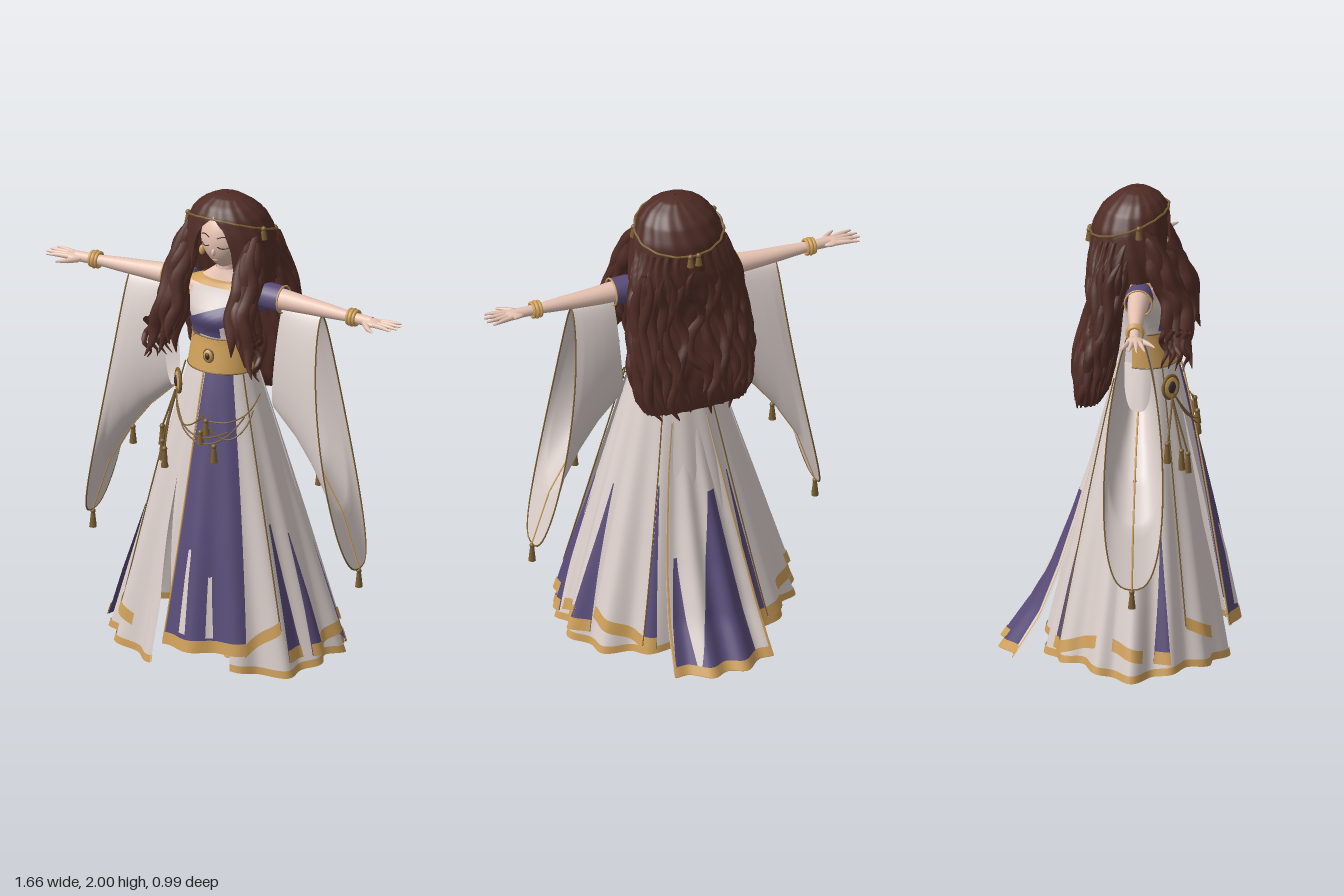
import * as THREE from 'three';
import { mergeVertices } from 'three/addons/utils/BufferGeometryUtils.js';

const mat = (name, color) => Object.assign(new THREE.MeshStandardMaterial({ color, side: THREE.DoubleSide }), { name });
const white = mat('ivory cloth', 0xdbcfcb), purple = mat('purple cloth', 0x584b78), gold = mat('gold', 0xcfa05a);
const bronze = mat('dark gold', 0x7d6034), skin = mat('skin', 0xe9c5b4), hairM = mat('hair', 0x502c25);
const dark = mat('dark stone', 0x3a3038), lipM = mat('lips', 0xc0857c);

const V = (x, y, z) => new THREE.Vector3(x, y, z);
const rad = d => d * Math.PI / 180, lerp = THREE.MathUtils.lerp;
const { sin, cos, PI } = Math;

// table lookup: rows are [key, ...values] with falling keys
function look(rows, k) {
  if (k >= rows[0][0]) return rows[0].slice(1);
  for (let i = 1; i < rows.length; i++) if (k >= rows[i][0]) {
    const a = rows[i - 1], b = rows[i], t = (a[0] - k) / (a[0] - b[0]);
    return a.slice(1).map((v, j) => lerp(v, b[j + 1], t));
  }
  return rows[rows.length - 1].slice(1);
}

// smooth surface from a rule f(u, v) -> Vector3
function grid(f, nu, nv) {
  const p = [], idx = [];
  for (let j = 0; j <= nv; j++) for (let i = 0; i <= nu; i++) p.push(...f(i / nu, j / nv).toArray());
  for (let j = 0; j < nv; j++) for (let i = 0; i < nu; i++) {
    const a = j * (nu + 1) + i, b = a + nu + 1;
    idx.push(a, b, a + 1, b, b + 1, a + 1);
  }
  let g = new THREE.BufferGeometry();
  g.setAttribute('position', new THREE.Float32BufferAttribute(p, 3));
  g.setIndex(idx);
  g = mergeVertices(g, 1e-5);
  g.computeVertexNormals();
  return g;
}

// tube whose radius follows a list of values
function taper(pts, radii, sides = 8, seg = 16) {
  const c = new THREE.CatmullRomCurve3(pts);
  const g = new THREE.TubeGeometry(c, seg, 1, sides), p = g.attributes.position;
  for (let i = 0; i < p.count; i++) {
    const t = Math.floor(i / (sides + 1)) / seg, k = t * (radii.length - 1), n = Math.min(Math.floor(k), radii.length - 2);
    const o = c.getPointAt(t), v = V(0, 0, 0).fromBufferAttribute(p, i);
    v.sub(o).multiplyScalar(lerp(radii[n], radii[n + 1], k - n)).add(o);
    p.setXYZ(i, v.x, v.y, v.z);
  }
  return g;
}
const cord = (f, n, r, closed) => new THREE.TubeGeometry(
  new THREE.CatmullRomCurve3(Array.from({ length: closed ? n : n + 1 }, (_, i) => f(i / n)), closed), n * 2, r, 6, closed);

// skirt surface: angle 0 is the front, 90 degrees is +x
function skirt(deg, y, off = 0) {
  const t = Math.max(0, (1.28 - y) / 1.24), a = rad(deg);
  const k = 1 + 0.045 * t * sin(15 * a) + 0.02 * t * sin(7 * a + 1);
  return V(((0.14 + 0.355 * t) * k + off) * sin(a), y, 0.12 - 0.03 * t + ((0.11 + 0.27 * t ** 0.9) * k + off) * cos(a));
}
// torso surface
const torsoRows = [[1.68, .045, .045, .09], [1.63, .11, .06, .09], [1.6, .185, .065, .1], [1.55, .18, .08, .1],
  [1.5, .145, .09, .105], [1.4, .122, .095, .11], [1.26, .136, .115, .12]];
function torso(deg, y, off = 0) {
  const [rx, rz, zc] = look(torsoRows, y), a = rad(deg);
  const bust = 0.035 * Math.exp(-(((y - 1.49) / 0.05) ** 2)) * Math.max(cos(a), 0);
  return V((rx + off) * sin(a), y, zc + (rz + off) * cos(a) + bust);
}
// hair cap surface
const capRows = [[2, .004, .004, .08], [1.99, .065, .055, .08], [1.96, .118, .1, .08], [1.92, .156, .135, .07],
  [1.85, .187, .16, .058], [1.75, .205, .17, .055], [1.65, .21, .168, .055]];
function cap(deg, y, off = 0) {
  const [rx, rz, zc] = look(capRows, y), a = rad(deg), k = 1 + 0.014 * sin(16 * a + y * 25);
  return V((rx * k + off) * sin(a), y, zc + (rz * k + off) * cos(a));
}

export function createModel() {
  const root = new THREE.Group();
  const add = (name, geo, m, pos, scale, parent = root) => {
    const o = new THREE.Mesh(geo, m);
    o.name = name;
    if (pos) o.position.set(...pos);
    if (scale) o.scale.set(...scale);
    parent.add(o);
    return o;
  };
  const ball = new THREE.SphereGeometry(1, 24, 16);
  const band = (name, surf, a0, a1, y0, y1, off, m, n = 48) =>
    add(name, grid((u, v) => surf(lerp(a0, a1, u), lerp(y0, y1, v), off), n, 8), m);
  const tassel = (x, y, z, h = 0.07) => {
    add('tasselKnot', ball, bronze, [x, y, z], [.011, .011, .011]);
    add('tassel', new THREE.CylinderGeometry(.008, .016, h, 8), bronze, [x, y - h / 2, z]);
  };

  // underskirt, open behind the front panel and at the slit
  const slitL = y => look([[.93, -22], [.6, -21], [.3, -16], [0, -16]], y)[0];
  const under = (yTop, yLow, off) => grid((u, v) => {
    const y = lerp(yTop, yLow, v), d = lerp(26, 360 + slitL(y), u);
    return skirt(d, y + 0.015 * sin(rad(d) * 5) * (1 - Math.min(1, y)), off);
  }, 180, 24);
  add('underskirt', under(1.28, .05, 0), white);
  for (const off of [.004, -.004]) add('underskirtHem', under(.078, .048, off), gold);

  // overskirt panels: left and right angle at the top and at the hem, hem height on each side
  const panel = (name, m, t0, t1, b0, b1, yTop, h0, h1, off, hem = true) => {
    const f = (o, lift) => (u, v) => {
      const low = lerp(h0, h1, u), y = lift ? low + lift * (1 - v) : lerp(yTop, low, v), k = (yTop - y) / (yTop - low);
      return skirt(lerp(lerp(t0, b0, k), lerp(t1, b1, k), u), y, o * Math.min(1, .4 + k));
    };
    add(name, grid(f(off, 0), 20, 24), m);
    if (hem) add(name + 'Hem', grid(f(off + .005, .05), 20, 2), gold);
  };
  panel('slitStrip', white, -28, -2, -9, -8, 1.28, .3, .3, .012, false);
  panel('frontPanel', purple, -4, 42, -10, 35, 1.28, .13, .13, .022);
  panel('foldLight', white, 2, 3, 0, 4, .75, .2, .2, .028, false);
  panel('foldLight', white, 15, 16, 14, 18, .6, .19, .19, .028, false);
  add('panelEdge', cord(t => skirt(lerp(-4, -10, t), lerp(1.27, .14, t), .022), 20, .004), gold);
  for (const s of [-1, 1]) {
    panel('frontSidePanel', white, s * 36, s * 58, s * 34, s * 54, 1.28, s < 0 ? .15 : .12, .22, .016);
    panel('sidePanel', white, s * 82, s * 104, s * 84, s * 104, 1.28, .11, .15, .014);
    panel('rearPanel', white, s * 116, s * 150, s * 114, s * 146, 1.28, .16, .08, .014);
    panel('purpleGore', purple, s * 149, s * 150, s * 146, s * 153, .75, .08, .08, .012);
    add('panelEdge', cord(t => skirt(s * lerp(58, 54, t), lerp(1.27, .23, t), .018), 16, .003), bronze);
    add('panelEdge', cord(t => skirt(s * lerp(150, 146, t), lerp(1.2, .09, t), .016), 16, .003), bronze);
  }
  for (const [t0, t1, b0, b1, y] of [[60, 62, 56, 68, .65], [76, 77, 73, 83, .6], [107, 108, 102, 114, .72], [-70, -71, -67, -77, .6]])
    panel('purpleGore', purple, t0, t1, b0, b1, y, .1, .1, .019);

  // train trailing behind
  const trainRows = [[1, -.06, .08], [.8, -.115, .115], [.6, -.18, .145], [.4, -.255, .175], [.2, -.345, .2], [.02, -.465, .22]];
  const train = (l0, r0, l1, r1, y0, y1, off) => grid((u, v) => {
    const y = lerp(y0, y1, v), w = lerp(lerp(l0, l1, v), lerp(r0, r1, v), u), [z, hw] = look(trainRows, y), k = 1.05 - y;
    return V(w * hw, y + .004, z + .07 * w * w * k + .018 * k * cos(w * 9) - off);
  }, 32, 24);
  add('train', train(-1, 1, -1, 1, 1, .02, 0), white);
  add('trainCentre', train(-.55, -.3, -.68, .52, .7, .03, .005), purple);
  add('trainSide', train(.72, .8, .55, .97, .45, .03, .005), purple);
  add('trainHem', train(-1, 1, -1, 1, .055, .018, .009), gold);
  for (const w of [-1, 1]) add('trainEdge', train(w * .95, w, w * .95, w, 1, .02, .008), gold);

  // torso, neckline, sash and belt
  band('shoulders', torso, 0, 360, 1.68, 1.6, 0, skin);
  band('bodice', torso, 0, 360, 1.615, 1.26, .004, white);
  band('bareShoulder', torso, -80, -38, 1.612, 1.555, .009, skin);
  band('collar', torso, 0, 360, 1.64, 1.61, .01, gold);
  add('sash', grid((u, v) => torso(lerp(-50, 80, u), lerp(1.425, 1.575, u) + lerp(.045, -.045, v), .014), 32, 6), purple);
  band('shoulderDrape', torso, 48, 130, 1.615, 1.5, .013, purple, 20);
  add('sashTail', grid((u, v) => torso(lerp(-55, 18, u), lerp(1.435, 1.43, u) + lerp(.03, -.02, v), .012), 24, 4), purple);
  band('belt', torso, -115, 115, 1.405, 1.265, .014, gold);
  for (const y of [1.405, 1.265]) add('beltRim', cord(t => torso(lerp(-115, 115, t), y, .014), 32, .003), bronze);
  const disc = (name, r, p, turn) => {
    const g = new THREE.Group();
    g.name = name; g.position.copy(p); g.rotation.y = turn; root.add(g);
    add('disc', ball, gold, null, [r * .9, r * 1.1, .012], g);
    add('rim', new THREE.TorusGeometry(r, r * .16, 8, 28), bronze, null, [.95, 1.15, 1], g);
    add('stone', ball, dark, [0, 0, .006], [r * .5, r * .65, .012], g);
  };
  disc('beltBuckle', .024, torso(0, 1.335, .018), 0);
  disc('hipMedallion', .042, skirt(-50, 1.19, .03), -.8);

  // hip chains
  for (const [a, b, y0, y1, d] of [[-50, 5, 1.19, 1.1, .1], [-48, 50, 1.17, 1.1, .15], [0, 62, 1.1, 1.12, .1], [5, 78, 1.08, 1.18, .04], [-45, 30, 1.15, 1.04, .08]])
    add('hipChain', cord(t => skirt(lerp(a, b, t), lerp(y0, y1, t) - d * sin(PI * t), .03), 24, .0032), bronze);
  for (const [a, y, h] of [[8, 1.08, .06], [17, .98, .07], [3, 1.03, .05]]) { const p = skirt(a, y, .034); tassel(p.x, p.y, p.z, h); }
  for (const [a, y] of [[-62, .97], [-46, .93], [-38, .91]]) {
    add('medallionCord', cord(t => skirt(lerp(-50, a, t), lerp(1.15, y, t), .032), 8, .004), bronze);
    const p = skirt(a, y, .032);
    tassel(p.x, p.y, p.z, .08);
  }

  // head and face
  const head = new THREE.SphereGeometry(1, 40, 28), hp = head.attributes.position;
  for (let i = 0; i < hp.count; i++) {
    const y = hp.getY(i), k = y < 0 ? 1 - .38 * y * y : 1;
    hp.setXYZ(i, hp.getX(i) * k, y, hp.getZ(i) * (y < 0 ? 1 - .15 * y * y : 1));
  }
  head.computeVertexNormals();
  add('head', head, skin, [0, 1.815, .1], [.1, .132, .1]);
  add('neck', new THREE.CylinderGeometry(.04, .048, .12, 20), skin, [0, 1.67, .09]);
  add('nose', ball, skin, [0, 1.775, .196], [.008, .016, .01]);
  add('mouth', ball, lipM, [0, 1.737, .183], [.014, .004, .005]);
  const face = (x, y) => V(x, y, .103 + .1 * Math.sqrt(Math.max(0, 1 - (x / .1) ** 2 - ((y - 1.815) / .132) ** 2)));
  for (const s of [-1, 1]) {
    add('closedEye', cord(t => face(s * lerp(.02, .065, t), 1.805 - .008 * sin(PI * t)), 8, .0022), hairM);
    add('eyebrow', cord(t => face(s * lerp(.018, .068, t), 1.84 + .008 * sin(PI * t)), 8, .0022), hairM);
  }

  // hair cap with a centre parting
  const part = y => look([[1.93, 0], [1.88, 18], [1.8, 26], [1.65, 30]], y)[0];
  add('hairCap', grid((u, v) => { const y = lerp(2, 1.65, v ** 1.6), p = part(y); return cap(lerp(p, 360 - p, u), y); }, 160, 28), hairM);
  add('circlet', cord(t => { const a = t * 360; return cap(a, 1.87 + .055 * cos(rad(a)), .006); }, 48, .005, true), bronze);
  for (const a of [78, 175, 185, 282]) {
    const p = cap(a, 1.87 + .055 * cos(rad(a)), .01);
    tassel(p.x, p.y, p.z, .045);
  }
  // long back hair, squared at the sides
  const backRows = [[1.82, .185, .12, .02], [1.7, .225, .105, -.015], [1.5, .25, .068, -.04], [1.3, .262, .085, -.082], [1.17, .245, .075, -.1], [1.09, .2, .05, -.125]];
  const square = k => Math.sign(k) * Math.abs(k) ** .75;
  const back = (deg, y, off = 0) => {
    const [rx, rz, zc] = look(backRows, y), a = rad(deg), k = 1 + .04 * sin(26 * a + 2 * sin(y * 22));
    return V((rx * k + off) * square(sin(a)), y, zc + (rz * k + off) * square(cos(a)));
  };
  add('backHair', grid((u, v) => back(u * 360, lerp(1.82, 1.12, v)), 140, 28), hairM);
  for (let i = 0; i < 23; i++) {
    const a = lerp(65, 295, i / 22), end = 1.08 + .03 * (i % 3) + .09 * Math.abs(i / 11 - 1) ** 3;
    const pts = Array.from({ length: 9 }, (_, j) => back(a + 5 * sin(j * 1.7 + i * 2), lerp(1.74, end, j / 8), -.008));
    add('backLock', taper(pts, [.008, .026, .027, .028, .024, .003], 7, 24), hairM);
  }
  for (const s of [-1, 1]) {
    // wavy locks in front of the shoulders
    for (let i = 0; i < 9; i++) {
      const c = i % 3 - 1, r = Math.floor(i / 3) - 1, end = 1.31 + .035 * ((i * 5) % 4);
      const pts = Array.from({ length: 10 }, (_, j) => {
        const y = lerp(1.86, end, j / 9), [x, z] = look([[1.86, .135, .11], [1.8, .152, .145], [1.68, .163, .195], [1.55, .165, .25], [1.4, .19, .265], [1.3, .215, .27]], y);
        const sp = .012 + .03 * j / 9;
        return V(s * (x + c * sp + .008 * sin(j * 1.9 + i)), y, z + r * sp + .008 * cos(j * 1.7 + i * 2));
      });
      add('frontLock', taper(pts, [.015, .031, .032, .032, .027, .002], 7, 26), hairM);
    }
    // curled wisps at the lock tips
    for (let i = 0; i < 4; i++)
      add('wisp', taper(Array.from({ length: 6 }, (_, j) => V(s * (.21 + .016 * i + .016 * sin(j * 2 + i)), 1.47 - .036 * j, .2 + .03 * i + .014 * cos(j * 2))), [.012, .012, .002], 6, 18), hairM);
    add('earring', ball, gold, [s * .1, 1.74, .12], [.012, .022, .012]);

    // arm, short sleeve and bracelet
    add('arm', taper([V(s * .18, 1.595, .1), V(s * .35, 1.59, .1), V(s * .5, 1.588, .105), V(s * .64, 1.586, .11), V(s * .7, 1.585, .112)],
      [.045, .043, .036, .03, .022, .022], 16, 24), skin);
    add('shoulderSleeve', taper([V(s * .14, 1.595, .1), V(s * .21, 1.592, .1), V(s * .275, 1.59, .1)], [.045, .058, .056], 20, 12), purple);
    for (const [x, r, w] of [[.275, .056, .004], [.595, .03, .007], [.61, .03, .009], [.625, .029, .007]])
      add(x > .5 ? 'bracelet' : 'sleeveTrim', new THREE.TorusGeometry(r, w, 8, 24), gold, [s * x, x > .5 ? 1.587 : 1.592, x > .5 ? .108 : .1]).rotation.y = PI / 2;
    // hand
    add('palm', ball, skin, [s * .705, 1.584, .113], [.048, .015, .036]);
    for (let i = 0; i < 4; i++)
      add('finger', taper([V(s * .72, 1.585, .09 + i * .015), V(s * .77, 1.587, .078 + i * .023), V(s * (.815 + (i % 3 ? .015 : 0)), 1.585, .066 + i * .031)], [.011, .0095, .004], 8, 8), skin);
    add('thumb', taper([V(s * .68, 1.58, .13), V(s * .715, 1.578, .168), V(s * .75, 1.578, .195)], [.014, .011, .004], 8, 8), skin);

    // hanging bell sleeve
    const bell = (u, v) => {
      const f = 2 * PI * u, h = (1 - cos(f)) / 2, w = Math.sign(sin(f)) * Math.abs(sin(f)) ** .7 * h ** .3;
      const low = look([[1, .48], [.8, .71], [.54, .88], [.3, 1], [0, 1.11]], v)[0];
      return V(s * lerp(lerp(.27, .455, v), lerp(.24, .63, v), h ** 1.6), lerp(1.56, low, h), .097 + lerp(.065, .142, v) * w);
    };
    add('bellSleeve', grid(bell, 64, 30), white);
    add('bellSleeveRim', cord(t => bell(t, 1), 48, .0035, true), bronze);
    add('bellSleeveSeam', cord(t => bell(.5, t), 24, .004), gold);
    tassel(s * .63, .47, .097);
    tassel(s * .44, .88, .097);

    // leg, raised-heel foot and laced sandal
    const x = s * .065;
    add('leg', taper([V(s * .08, 1.1, .12), V(s * .088, .75, .14), V(s * .085, .5, .14), V(s * .078, .3, .12), V(x, .1, .1)], [.07, .062, .045, .042, .025], 16, 24), skin);
    add('foot', taper([V(x, .115, .085), V(x, .08, .12), V(x, .04, .17), V(x, .022, .205)], [.026, .032, .03, .014], 12, 14), skin);
    add('sandalSole', ball, gold, [x, .05, .13], [.036, .016, .085]).rotation.x = .55;
    for (const [y, z, r] of [[.085, .12, .034], [.05, .165, .033], [.13, .095, .03]])
      add('sandalStrap', new THREE.TorusGeometry(r, .006, 6, 20), gold, [x, y, z]).rotation.x = y > .1 ? PI / 2 : .7;
    for (const d of [0, PI]) add('sandalLace', cord(t => V(lerp(x, s * .083, t) + .044 * sin(t * 12 + d), lerp(.13, .45, t), lerp(.105, .135, t) + .044 * cos(t * 12 + d)), 32, .005), bronze);
  }
  return root;
}
